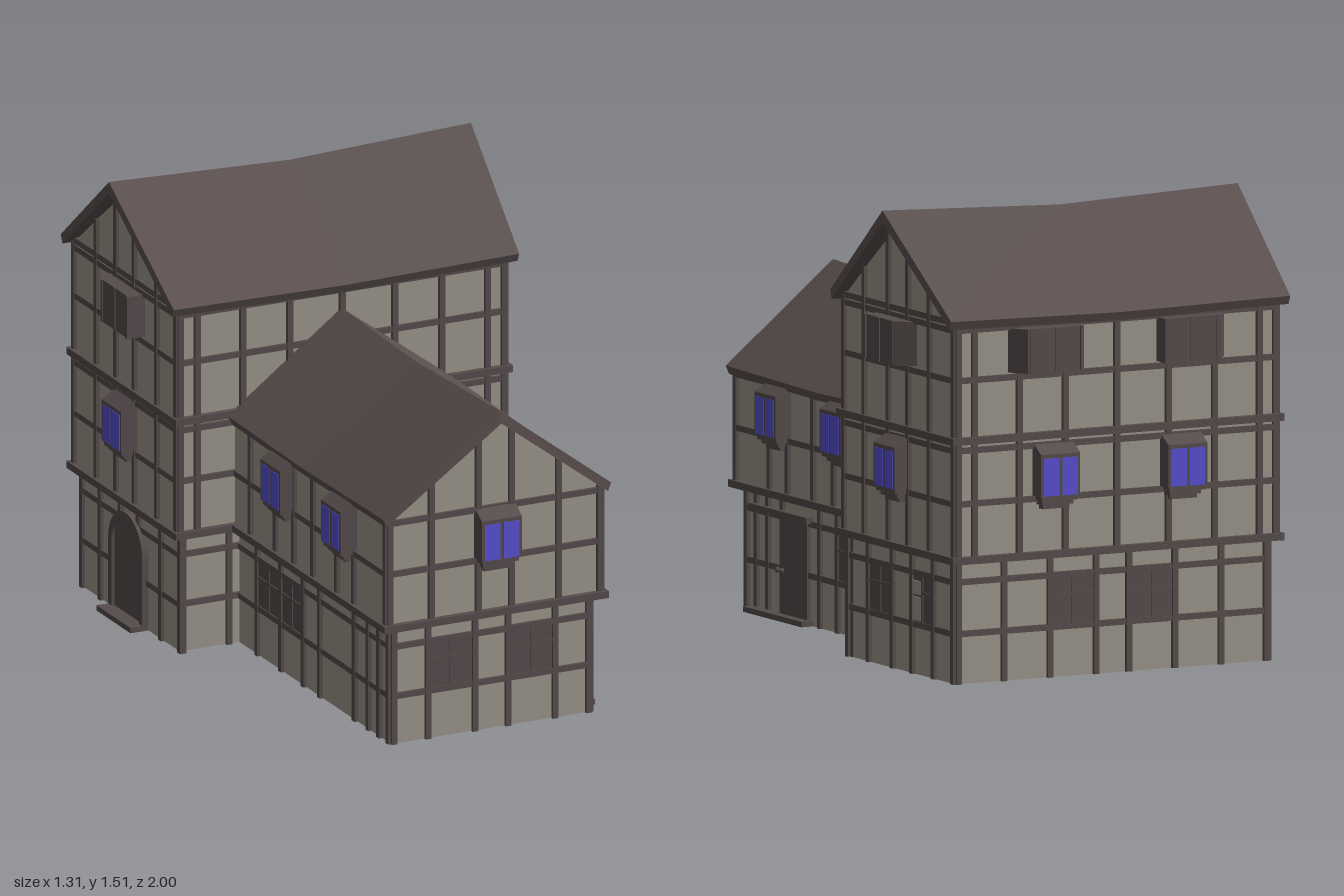
import * as THREE from 'three';

const mat = (name, color, side = THREE.FrontSide) => {
  const m = new THREE.MeshStandardMaterial({ color, side });
  m.name = name;
  return m;
};

export function createModel() {
  const plaster = mat('plaster', 0x9c968a, THREE.DoubleSide);
  const timber = mat('timber', 0x564d4c);
  const roofing = mat('roofing', 0x5b504f);
  const glass = mat('blueGlass', 0x5850d2);

  const model = new THREE.Group();
  model.name = 'timberFramedHouse';

  const add = (parent, name, geo, material, x = 0, y = 0, z = 0) => {
    const m = new THREE.Mesh(geo, material);
    m.name = name;
    m.position.set(x, y, z);
    parent.add(m);
    return m;
  };
  // box given by its ranges across and up, and its centre and depth outwards
  const box = (parent, name, material, u0, u1, y0, y1, z, d) =>
    add(parent, name, new THREE.BoxGeometry(u1 - u0, y1 - y0, d), material, (u0 + u1) / 2, (y0 + y1) / 2, z);

  // one group per side of the house; local +z points outwards
  const face = (name, angle) => {
    const g = new THREE.Group();
    g.name = name;
    g.rotation.y = angle;
    model.add(g);
    return g;
  };
  const front = face('frontSide', 0);
  const back = face('backSide', Math.PI);
  const right = face('plusXSide', Math.PI / 2);   // u = -z
  const left = face('minusXSide', -Math.PI / 2);  // u = +z

  // plaster panel with posts and rails; an optional gable {mid, y, slope} raises the top
  const storey = (f, d, a, b, y0, y1, posts, rails, gable) => {
    const top = u => (gable ? gable.y - gable.slope * Math.abs(u - gable.mid) : y1);
    const s = new THREE.Shape();
    s.moveTo(a, y0);
    s.lineTo(b, y0);
    s.lineTo(b, top(b));
    if (gable) s.lineTo(gable.mid, gable.y);
    s.lineTo(a, top(a));
    add(f, 'plasterWall', new THREE.ShapeGeometry(s), plaster, 0, 0, d);
    for (const u of posts) box(f, 'post', timber, u - 0.01, u + 0.01, y0, top(u), d, 0.024);
    for (const y of rails) box(f, 'rail', timber, a, b, y - 0.01, y + 0.01, d, 0.02);
  };
  const band = (f, d, a, b, y) => box(f, 'floorBeam', timber, a, b, y - 0.012, y + 0.012, d, 0.042);
  const pairs = list => list.flatMap(v => [-v, v]);

  const low = [0.165, 0.335], mid = [0.595, 0.77], high = [1.0, 1.165];

  // front gable of the wing
  storey(front, 0.915, -0.36, 0.36, 0, 0.41, pairs([0.06, 0.23, 0.352]), low);
  storey(front, 0.94, -0.385, 0.385, 0.41, 0.8, pairs([0.06, 0.23, 0.38]), mid,
    { mid: 0, y: 1.08, slope: 0.77 });
  band(front, 0.94, -0.405, 0.405, 0.41);

  // long front and back walls of the rear block
  const wide = [0, ...pairs([0.19, 0.36, 0.525, 0.585])];
  for (const s of [-1, 1]) {
    const span = (a, b) => (s > 0 ? [a, b] : [-b, -a]);
    storey(front, -0.2, ...span(0.36, 0.575), 0, 0.41, [s * 0.4, s * 0.567], low);
    storey(front, -0.18, ...span(0.385, 0.59), 0.41, 0.8, [s * 0.525, s * 0.585], mid);
    band(front, -0.18, ...span(0.385, 0.61), 0.41);
    band(front, -0.18, ...span(0.385, 0.61), 0.802);
  }
  storey(front, -0.18, -0.59, 0.59, 0.8, 1.175, wide, high);
  storey(back, 0.91, -0.575, 0.575, 0, 0.41, pairs([0.06, 0.23, 0.4, 0.567]), low);
  storey(back, 0.94, -0.59, 0.59, 0.41, 0.8, wide, mid);
  storey(back, 0.94, -0.59, 0.59, 0.8, 1.175, wide, high);
  for (const y of [0.41, 0.802]) band(back, 0.94, -0.61, 0.61, y);

  // side walls of wing and rear block, k turns z into the local axis
  const wingPosts = [0.705, 0.58, 0.405, 0.265, 0.13, -0.055];
  const blockPosts = [-0.185, -0.325, -0.49, -0.625, -0.77];
  for (const [f, k] of [[right, -1], [left, 1]]) {
    const span = (a, b) => (k > 0 ? [a, b] : [-b, -a]);
    const at = list => list.map(z => z * k);
    storey(f, 0.36, ...span(-0.2, 0.915), 0, 0.41,
      at([0.907, 0.84, 0.76, 0.66, 0.405, 0.285, 0.12, -0.055]), low);
    storey(f, 0.385, ...span(-0.18, 0.94), 0.41, 0.785, at([0.935, ...wingPosts]), mid);
    band(f, 0.385, ...span(-0.18, 0.96), 0.41);
    storey(f, 0.575, ...span(-0.91, -0.2), 0, 0.41, at([...blockPosts, -0.905]), low);
    storey(f, 0.59, ...span(-0.94, -0.18), 0.41, 0.8, at([...blockPosts, -0.935]), mid);
    storey(f, 0.59, ...span(-0.94, -0.18), 0.8, 1.18, at([...blockPosts, -0.935]), [...high, 1.19],
      { mid: -0.558 * k, y: 1.48, slope: 0.783 });
    for (const y of [0.41, 0.802]) band(f, 0.59, ...span(-0.96, -0.16), y);
  }

  // sagging roof slab: stations of [ridge z, eave z, ridge y, eave y]
  const roof = (name, half, stations) => {
    const t = 0.04, pos = [];
    const rings = stations.map(([r, e, ry, ey]) => [
      [-half, ey, e], [0, ry, r], [half, ey, e],
      [half - 0.012, ey - t * 0.7, e], [0, ry - t, r], [-half + 0.012, ey - t * 0.7, e]]);
    const quad = (a, b, c, d) => pos.push(...a, ...b, ...c, ...a, ...c, ...d);
    for (let i = 0; i < rings.length - 1; i++)
      for (let k = 0; k < 6; k++) {
        const n = (k + 1) % 6;
        quad(rings[i][k], rings[i + 1][k], rings[i + 1][n], rings[i][n]);
      }
    const p = rings[0], q = rings[rings.length - 1];
    quad(q[0], q[5], q[4], q[1]);
    quad(q[1], q[4], q[3], q[2]);
    quad(p[1], p[4], p[5], p[0]);
    quad(p[2], p[3], p[4], p[1]);
    const g = new THREE.BufferGeometry();
    g.setAttribute('position', new THREE.Float32BufferAttribute(pos, 3));
    g.computeVertexNormals();
    return add(model, name, g, roofing);
  };
  roof('wingRoof', 0.413, [[-0.18, -0.18, 1.1, 0.792], [0.35, 0.35, 1.087, 0.785], [0.995, 0.963, 1.112, 0.795]]);
  const main = roof('mainRoof', 0.415,
    [[-0.655, -0.625, 1.515, 1.2], [0, 0, 1.49, 1.19], [0.655, 0.625, 1.515, 1.2]]);
  main.rotation.y = Math.PI / 2;
  main.position.z = -0.558;

  // projecting window with sloped hood, two blue panes and a stepped corbel
  const hood = new THREE.Shape([[0, 0.605], [0.058, 0.605], [0.058, 0.745], [0, 0.78]]
    .map(p => new THREE.Vector2(...p)));
  const bayGeo = new THREE.ExtrudeGeometry(hood, { depth: 0.144, bevelEnabled: false });
  bayGeo.translate(0, 0, -0.072).rotateY(-Math.PI / 2);
  const bay = (f, u, d) => {
    const g = new THREE.Group();
    g.name = 'bayWindow';
    g.position.set(u, 0, d);
    f.add(g);
    add(g, 'bayBody', bayGeo, timber);
    for (const s of [-1, 1]) box(g, 'pane', glass, s * 0.034 - 0.028, s * 0.034 + 0.028, 0.608, 0.732, 0.058, 0.004);
    for (let i = 0; i < 3; i++) {
      const w = 0.065 - i * 0.008, depth = 0.052 - i * 0.012;
      box(g, 'corbelStep', timber, -w, w, 0.59 - i * 0.014, 0.605 - i * 0.014, depth / 2, depth);
    }
  };
  bay(front, 0, 0.94);
  for (const s of [-1, 1]) bay(back, s * 0.235, 0.94);
  for (const [f, k] of [[right, -1], [left, 1]]) {
    for (const z of [0.64, 0.195]) bay(f, z * k, 0.385);
    bay(f, -0.555 * k, 0.59);
  }

  // shuttered upper windows, slanted on one side
  const shutter = (f, u, d, s) => {
    const pts = [[-0.125, 0], [0.125, 0], [0.08, 0.06], [-0.125, 0.06]].map(([x, z]) => new THREE.Vector2(x * s, -z));
    const geo = new THREE.ExtrudeGeometry(new THREE.Shape(pts), { depth: 0.145, bevelEnabled: false });
    geo.rotateX(-Math.PI / 2);
    add(f, 'shutteredWindow', geo, timber, u, 1.015, d);
    for (const x of [-0.118, -0.025, 0.068])
      box(f, 'shutterBar', timber, u + x * s - 0.006, u + x * s + 0.006, 1.015, 1.16, d + 0.061, 0.006);
  };
  for (const s of [-1, 1]) shutter(back, s * 0.275, 0.938, s);
  shutter(right, 0.55, 0.59, 1);
  shutter(left, -0.55, 0.59, -1);

  // ground floor windows with sash bars
  const lowWindow = (f, a, b, d) => {
    box(f, 'groundWindow', timber, a, b, 0.165, 0.33, d, 0.012);
    const c = (a + b) / 2;
    box(f, 'sashUpright', timber, c - 0.006, c + 0.006, 0.165, 0.33, d + 0.006, 0.008);
    box(f, 'sashBar', timber, a, b, 0.268, 0.276, d + 0.006, 0.008);
  };
  for (const s of [-1, 1]) {
    const [a, b] = s > 0 ? [0.06, 0.235] : [-0.235, -0.06];
    lowWindow(front, a, b, 0.915);
    lowWindow(back, a, b, 0.91);
  }
  for (const [a, b] of [[-0.285, -0.12], [-0.12, 0.055]]) {
    lowWindow(right, a, b, 0.36);
    lowWindow(left, -b, -a, 0.36);
  }
  lowWindow(right, 0.325, 0.49, 0.575);
  lowWindow(right, 0.625, 0.765, 0.575);
  for (const [y0, y1] of [[0.18, 0.257], [0.265, 0.31]])
    box(right, 'lightPane', plaster, 0.64, 0.69, y0, y1, 0.586, 0.004);

  // wing entrance with canopy, step and knobs
  box(right, 'wingDoor', timber, -0.66, -0.48, 0.015, 0.335, 0.363, 0.02);
  box(right, 'doorCanopy', timber, -0.86, -0.46, 0.337, 0.357, 0.37, 0.035);
  box(right, 'doorStep', timber, -0.86, -0.46, 0, 0.018, 0.38, 0.05);
  for (const u of [-0.675, -0.645])
    add(right, 'doorKnob', new THREE.SphereGeometry(0.009, 10, 8), timber, u, 0.16, 0.378);

  // arched door with frame and step
  const arch = (r, h) => {
    const s = new THREE.Shape();
    s.moveTo(-r, 0);
    s.lineTo(r, 0);
    s.lineTo(r, h);
    s.absarc(0, h, r, 0, Math.PI, false);
    return s;
  };
  const frame = arch(0.125, 0.245);
  frame.holes.push(arch(0.1, 0.245));
  const slab = (s, depth) => new THREE.ExtrudeGeometry(s, { depth, bevelEnabled: false, curveSegments: 10 });
  add(left, 'archedDoor', slab(arch(0.1, 0.245), 0.012), timber, -0.555, 0, 0.575);
  add(left, 'archedDoorFrame', slab(frame, 0.025), timber, -0.555, 0, 0.573);
  box(left, 'archedDoorStep', timber, -0.68, -0.43, 0, 0.018, 0.605, 0.07);

  return model;
}
